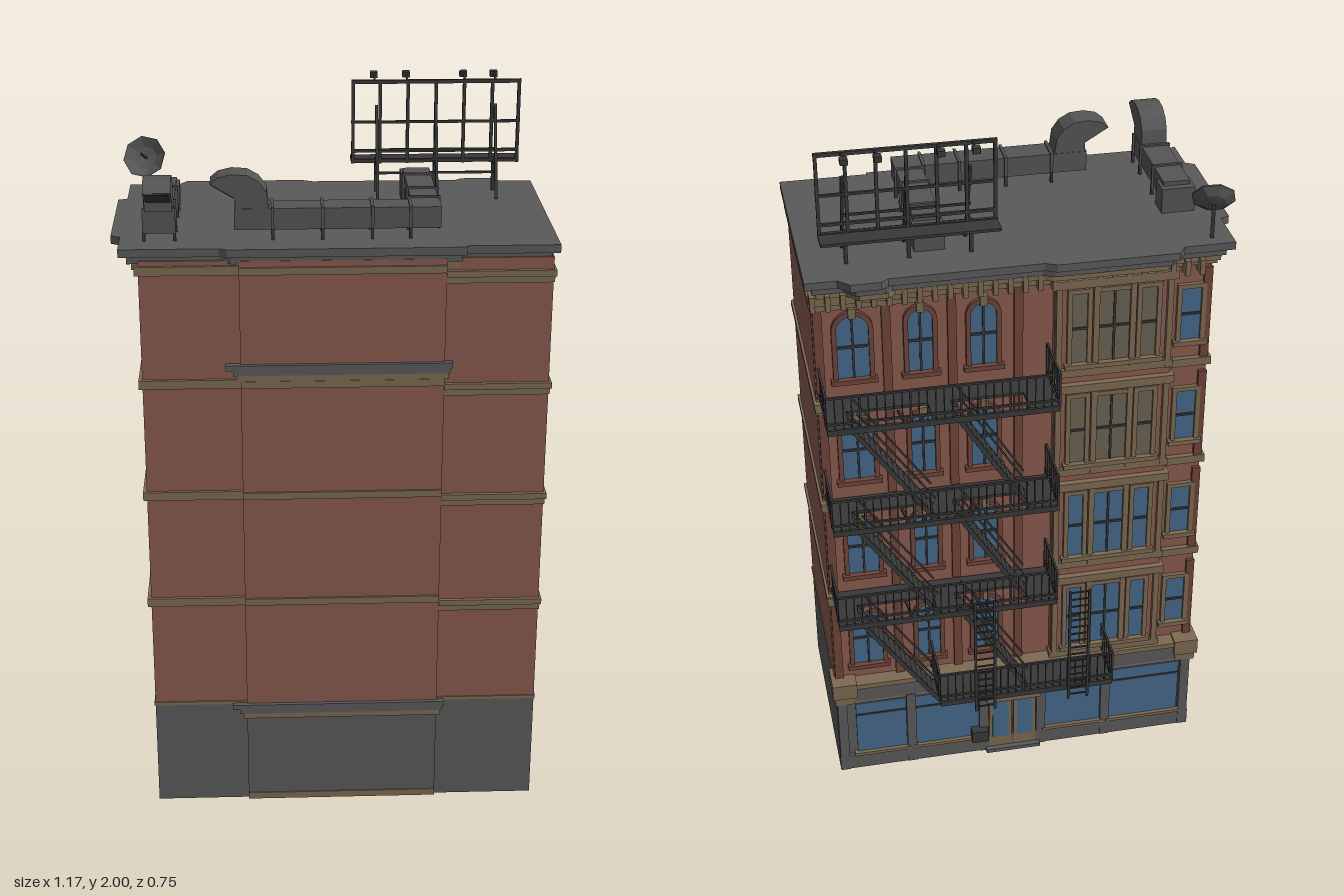
import * as THREE from 'three';
import { mergeGeometries } from 'three/addons/utils/BufferGeometryUtils.js';

const COLORS = {
  brick: 0x8a5a4e, masonryGrey: 0x5a5a5a, stoneTan: 0x7d6a52, iron: 0x383838,
  ductGrey: 0x555555, glass: 0x45688a, blind: 0x6a6253, darkBrick: 0x6e4439,
};

export function createModel() {
  const root = new THREE.Group();
  root.name = 'apartmentBuilding';
  const mats = {};
  for (const k in COLORS) {
    mats[k] = new THREE.MeshStandardMaterial({ color: COLORS[k] });
    mats[k].name = k;
  }
  // Pieces that share a part name and colour become one flat-faced mesh
  const parts = new Map();
  const add = (name, mat, geo) => {
    const g = geo.index ? geo.toNonIndexed() : geo;
    g.computeVertexNormals();
    const key = name + '|' + mat;
    if (!parts.has(key)) parts.set(key, []);
    parts.get(key).push(g);
  };
  const box = (name, mat, x0, x1, y0, y1, z0, z1) =>
    add(name, mat, new THREE.BoxGeometry(Math.abs(x1 - x0), y1 - y0, Math.abs(z1 - z0))
      .translate((x0 + x1) / 2, (y0 + y1) / 2, (z0 + z1) / 2));
  const bar = (name, mat, a, b, t = 0.005, w = t) => {
    const p = new THREE.Vector3(...a), q = new THREE.Vector3(...b);
    const m = new THREE.Matrix4().lookAt(q, p, Math.abs(q.x - p.x) + Math.abs(q.z - p.z) < 1e-4
      ? new THREE.Vector3(0, 0, 1) : new THREE.Vector3(0, 1, 0));
    m.setPosition(p.clone().add(q).multiplyScalar(0.5));
    add(name, mat, new THREE.BoxGeometry(w, t, p.distanceTo(q)).applyMatrix4(m));
  };

  // Main walls, with a slightly proud middle section on the plain side
  box('groundFloor', 'masonryGrey', -0.51, 0.57, 0, 0.32, -0.2, 0.357);
  box('groundFloor', 'masonryGrey', -0.25, 0.29, 0, 0.32, 0.35, 0.364);
  box('brickWalls', 'brick', -0.51, 0.57, 0.32, 1.64, -0.2, 0.357);
  box('brickWalls', 'brick', -0.25, 0.29, 0.32, 1.64, 0.35, 0.364);
  box('plinthStrip', 'stoneTan', -0.25, 0.29, 0, 0.02, 0.36, 0.367);

  // Belt courses: thin ones on the left and middle, deeper ones on the right
  for (const y of [0.32, 0.65, 0.975, 1.3, 1.615]) {
    if (y > 0.4) {
      box('beltCourse', 'stoneTan', -0.52, -0.25, y - 0.012, y + 0.012, -0.215, 0.366);
      box('beltCourse', 'stoneTan', -0.25, 0.29, y - 0.012, y + 0.008, 0.35, 0.37);
      box('beltCourse', 'stoneTan', 0.29, 0.577, y - 0.025, y - 0.008, -0.215, 0.368);
      box('beltCourse', 'stoneTan', 0.29, 0.573, y - 0.043, y - 0.025, -0.21, 0.362);
    } else box('beltCourse', 'stoneTan', -0.513, 0.573, y - 0.004, y + 0.006, -0.2, 0.36);
  }
  const ledge = (y, g) => {
    box('ledge', g, -0.29, 0.31, y - 0.015, y, 0.35, 0.375);
    box('ledge', 'masonryGrey', -0.27, 0.305, y - 0.03, y - 0.015, 0.35, 0.372);
    box('ledge', 'stoneTan', -0.26, 0.3, y - 0.047, y - 0.03, 0.35, 0.369);
  };
  ledge(1.355, 'masonryGrey');
  ledge(0.32, 'masonryGrey');

  // Stepped roof cornice following the roof outline
  const outline = [[-0.56, 0.362], [-0.3, 0.362], [-0.28, 0.373], [0.34, 0.373], [0.34, 0.362], [0.585, 0.362],
    [0.585, -0.24], [0.5, -0.24], [0.47, -0.27], [0.39, -0.27], [0.37, -0.255], [-0.04, -0.255], [-0.07, -0.27],
    [-0.4, -0.27], [-0.42, -0.24], [-0.56, -0.24], [-0.56, -0.1], [-0.585, -0.09], [-0.585, 0.24], [-0.56, 0.255]];
  const slab = (mat, s, y0, y1) => {
    const pts = outline.map(([x, z]) => new THREE.Vector2(0.04 + (x - 0.04) * s, -(0.09 + (z - 0.09) * s)));
    add('roofCornice', mat, new THREE.ExtrudeGeometry(new THREE.Shape(pts), { depth: y1 - y0, bevelEnabled: false })
      .rotateX(-Math.PI / 2).translate(0, y0, 0));
  };
  slab('stoneTan', 0.945, 1.615, 1.632);
  slab('masonryGrey', 0.965, 1.632, 1.652);
  slab('masonryGrey', 1, 1.652, 1.674);
  for (let x = -0.48; x < 0.56; x += 0.04) box('corniceBracket', 'stoneTan', x, x + 0.014, 1.585, 1.63, -0.24, -0.2);

  // Street side: window with a stone surround, glass and glazing bars
  const windowPath = (P, w, h, arched) => {
    const p = new P();
    p.moveTo(-w / 2, 0).lineTo(w / 2, 0).lineTo(w / 2, arched ? h - w / 2 : h);
    if (arched) p.absarc(0, h - w / 2, w / 2, 0, Math.PI, false);
    else p.lineTo(-w / 2, h);
    p.closePath();
    return p;
  };
  const win = (x, y, w, h, arched, pane, zw = -0.2, trim = 'stoneTan') => {
    const s = windowPath(THREE.Shape, w + 0.026, h + 0.013, arched);
    s.holes.push(windowPath(THREE.Path, w, h, arched));
    add('windowSurround', trim, new THREE.ExtrudeGeometry(s, { depth: 0.014, bevelEnabled: false, curveSegments: 10 })
      .translate(x, y, zw - 0.012));
    add('windowPane', pane, new THREE.ExtrudeGeometry(windowPath(THREE.Shape, w, h, arched),
      { depth: 0.006, bevelEnabled: false, curveSegments: 10 }).translate(x, y, zw - 0.004));
    box('windowFrame', 'iron', x - w / 2, x + w / 2, y + h * 0.48, y + h * 0.48 + 0.007, zw - 0.008, zw);
    if (w > 0.06) box('windowFrame', 'iron', x - 0.003, x + 0.003, y, y + h, zw - 0.008, zw);
    box('windowSill', trim, x - w / 2 - 0.02, x + w / 2 + 0.02, y - 0.014, y, zw - 0.02, zw);
  };
  box('bayWall', 'brick', -0.4, -0.075, 0.32, 1.62, -0.222, -0.2);
  [0.325, 0.655, 0.98, 1.305].forEach((y, f) => {
    for (const [x, w] of [[0.465, 0.085], [0.285, 0.065], [0.115, 0.07]]) {
      win(x, y + 0.055, w, 0.19, true, 'glass', -0.2, 'darkBrick');
      box('keystone', 'stoneTan', x - 0.01, x + 0.01, y + 0.24, y + 0.27, -0.219, -0.2);
    }
    win(-0.457, y + 0.065, 0.055, 0.16, false, 'glass');
    const pane = f > 1 ? 'blind' : 'glass';
    win(-0.142, y + 0.04, 0.042, 0.215, false, pane, -0.222);
    win(-0.2375, y + 0.04, 0.085, 0.215, false, pane, -0.222);
    win(-0.333, y + 0.04, 0.042, 0.215, false, pane, -0.222);
    // Floor bands and pilasters
    box('streetBelt', 'stoneTan', -0.075, 0.575, y + 0.285, y + 0.312, -0.217, -0.2);
    box('streetBelt', 'stoneTan', -0.41, -0.065, y + 0.275, y + 0.3, -0.24, -0.2);
    box('streetBelt', 'stoneTan', -0.405, -0.07, y, y + 0.022, -0.235, -0.2);
    for (const x of [-0.39, -0.288, -0.187, -0.085]) box('bayPilaster', 'stoneTan', x - 0.008, x + 0.008, y, y + 0.28, -0.236, -0.2);
    for (const x of [0.555, 0.375, 0.2, 0.02, -0.5]) box('wallPilaster', 'darkBrick', x - 0.012, x + 0.012, y, y + 0.285, -0.21, -0.2);
  });

  // Shop front with plinth, sign band, windows and doors
  box('shopFront', 'masonryGrey', -0.51, 0.57, 0, 0.3, -0.226, -0.2);
  box('shopPlinth', 'masonryGrey', -0.51, 0.57, 0, 0.05, -0.238, -0.22);
  box('shopSign', 'masonryGrey', -0.51, 0.57, 0.262, 0.312, -0.238, -0.2);
  box('shopSignTrim', 'stoneTan', -0.51, 0.57, 0.312, 0.328, -0.245, -0.2);
  box('shopSignTrim', 'stoneTan', -0.51, 0.57, 0.252, 0.262, -0.236, -0.2);
  for (const [a, b] of [[0.365, 0.515], [0.145, 0.335], [-0.23, -0.06], [-0.475, -0.26]]) {
    box('shopWindow', 'glass', a, b, 0.06, 0.245, -0.232, -0.22);
    box('shopWindowSill', 'stoneTan', a - 0.01, b + 0.01, 0.05, 0.06, -0.243, -0.22);
    box('shopWindowBar', 'iron', a, b, 0.2, 0.206, -0.235, -0.22);
  }
  for (const x of [0.555, 0.35, 0.13, -0.045, -0.245, -0.493])
    box('shopPier', 'masonryGrey', x - 0.014, x + 0.014, 0, 0.262, -0.24, -0.2);
  for (const x of [0.545, -0.49]) {
    box('cornerBlock', 'stoneTan', x - 0.036, x + 0.036, 0.285, 0.335, -0.25, -0.16);
    box('cornerBlock', 'stoneTan', x - 0.03, x + 0.03, 0.255, 0.285, -0.24, -0.18);
  }
  for (const x of [0.08, 0.005]) {
    box('door', 'stoneTan', x - 0.034, x + 0.034, 0.01, 0.2, -0.239, -0.22);
    box('doorPane', 'glass', x - 0.024, x + 0.024, 0.05, 0.19, -0.242, -0.22);
  }
  box('doorHood', 'stoneTan', -0.04, 0.125, 0.205, 0.22, -0.262, -0.22);
  box('doorStep', 'masonryGrey', -0.04, 0.125, 0, 0.012, -0.255, -0.22);
  box('ventBox', 'iron', 0.12, 0.17, 0.055, 0.095, -0.262, -0.23);

  // Fire escape: decks, railings, brackets, stairs and ladders
  const FE = 'fireEscape', zo = -0.362, zi = -0.205;
  const railRun = (a, b, y) => {
    const n = Math.max(2, Math.round(Math.hypot(b[0] - a[0], b[1] - a[1]) / 0.022));
    for (const h of [0.1, 0.02]) bar(FE + 'Rail', 'iron', [a[0], y + h, a[1]], [b[0], y + h, b[1]], 0.006);
    for (let i = 0; i <= n; i++) {
      const x = a[0] + (b[0] - a[0]) * i / n, z = a[1] + (b[1] - a[1]) * i / n;
      bar(FE + 'Rail', 'iron', [x, y, z], [x, y + 0.1, z], i % 6 ? 0.003 : 0.006);
    }
  };
  const stairs = [[0.5, 0.28, -0.355, -0.285], [0.22, 0.02, -0.345, -0.275]];
  for (const [y, x0, x1] of [[0.325, -0.23, 0.28], [0.65, -0.06, 0.56], [0.975, -0.06, 0.56], [1.3, -0.06, 0.56]]) {
    const low = y < 0.4;
    box(FE + 'Deck', 'iron', x0, x1, y - 0.008, y, low ? zo : -0.275, zi);
    if (!low) for (const [a, b] of [[-0.06, 0.02], [0.22, 0.28], [0.5, 0.56]])
      box(FE + 'Deck', 'iron', a, b, y - 0.008, y, zo, -0.27);
    box(FE + 'Deck', 'iron', x0, x1, y - 0.014, y + 0.003, zo - 0.004, zo + 0.004);
    railRun([x0, zo], [x1, zo], y);
    railRun([x0, zi], [x0, zo], y);
    railRun([x1, zi], [x1, zo], y);
    for (let i = 0; i < 4; i++) {
      const x = x0 + 0.01 + (x1 - x0 - 0.02) * i / 3;
      bar(FE + 'Bracket', 'iron', [x, y - 0.065, -0.2], [x, y - 0.01, zo], 0.007);
    }
    if (!low) for (const [xt, xb, za, zb] of stairs) {
      for (const z of [za, zb]) {
        bar(FE + 'Stair', 'iron', [xt, y, z], [xb, y - 0.325, z], 0.012, 0.005);
        bar(FE + 'Stair', 'iron', [xt - 0.02, y + 0.04, z], [xb, y - 0.255, z], 0.005);
      }
      for (let i = 1; i < 15; i++) {
        const x = xt + (xb - xt) * i / 15, yy = y - 0.325 * i / 15;
        box(FE + 'Stair', 'iron', x - 0.009, x + 0.009, yy - 0.002, yy + 0.002, za, zb);
      }
    }
  }
  for (const x of [0.15, -0.125]) {
    for (const s of [-0.028, 0.028]) bar('dropLadder', 'iron', [x + s, 0.285, -0.374], [x + s, 0.68, -0.374], 0.007);
    for (let y = 0.3; y < 0.68; y += 0.025) bar('dropLadder', 'iron', [x - 0.028, y, -0.374], [x + 0.028, y, -0.374], 0.004);
  }

  // Roof ducts with joints, feet and curved hoods
  const D = 'ductGrey';
  box('longDuct', D, -0.26, 0.28, 1.7, 1.757, 0.213, 0.287);
  box('longDuct', D, 0.205, 0.278, 1.7, 1.757, -0.09, 0.25);
  box('longDuctEnd', D, 0.2, 0.283, 1.672, 1.745, -0.125, -0.07);
  for (const x of [-0.16, -0.03, 0.1, 0.2]) {
    box('ductJoint', D, x - 0.004, x + 0.004, 1.695, 1.762, 0.207, 0.293);
    for (const z of [0.21, 0.29]) box('ductFoot', 'iron', x - 0.004, x + 0.004, 1.67, 1.705, z - 0.004, z + 0.004);
  }
  for (const z of [0.2, 0.115, -0.02]) {
    box('ductJoint', D, 0.199, 0.284, 1.695, 1.762, z - 0.004, z + 0.004);
    for (const x of [0.202, 0.281]) box('ductFoot', 'iron', x - 0.004, x + 0.004, 1.67, 1.705, z - 0.004, z + 0.004);
  }
  box('shortDuct', D, -0.492, -0.418, 1.7, 1.757, -0.02, 0.29);
  box('shortDuctBase', D, -0.502, -0.41, 1.672, 1.745, -0.04, 0.025);
  for (const z of [0.08, 0.21, 0.29]) {
    box('ductJoint', D, -0.498, -0.412, 1.695, 1.762, z - 0.004, z + 0.004);
    for (const x of [-0.495, -0.415]) box('ductFoot', 'iron', x - 0.004, x + 0.004, 1.67, 1.705, z - 0.004, z + 0.004);
  }
  const hood = (angle, x, z) => {
    const pts = [[0, 0], [0, 0.028], [0.066, 0.068], [0.045, 0.085], [0.01, 0.093], [-0.03, 0.09], [-0.06, 0.073],
      [-0.08, 0.045], [-0.086, 0]].map(p => new THREE.Vector2(...p));
    add('ductHood', D, new THREE.ExtrudeGeometry(new THREE.Shape(pts), { depth: 0.072, bevelEnabled: false })
      .translate(0, 0, -0.036).rotateY(angle).translate(x, 1.755, z));
    add('hoodOpening', 'iron', new THREE.BoxGeometry(0.07, 0.004, 0.06).rotateZ(Math.atan2(0.04, 0.066))
      .translate(0.034, 0.047, 0).rotateY(angle).translate(x, 1.755, z));
  };
  hood(Math.PI, -0.255, 0.25);
  hood(-Math.PI / 2, -0.455, 0.3);

  // Satellite dish on a short mast
  const dish = new THREE.LatheGeometry([[0, 0], [0.035, 0.007], [0.06, 0.024], [0.06, 0.028], [0.033, 0.013], [0, 0.007]]
    .map(p => new THREE.Vector2(...p)), 8);
  const aim = new THREE.Vector3(-0.2, 0.5, 0.84).normalize();
  dish.applyQuaternion(new THREE.Quaternion().setFromUnitVectors(new THREE.Vector3(0, 1, 0), aim));
  add('satelliteDish', D, dish.translate(-0.508, 1.762, -0.19));
  bar('dishMast', 'iron', [-0.505, 1.67, -0.2], [-0.508, 1.765, -0.19], 0.01);
  bar('dishFeed', 'iron', [-0.508, 1.765, -0.188], [-0.52, 1.79, -0.145], 0.005);

  // Empty billboard frame with braces, walkway and lamps
  const B = 'billboardFrame', zb = -0.15;
  for (const [y, t] of [[1.985, 0.01], [1.872, 0.007], [1.79, 0.008], [1.762, 0.01]]) bar(B, 'iron', [0.065, y, zb], [0.535, y, zb], t);
  for (const x of [0.07, 0.145, 0.222, 0.3, 0.378, 0.456, 0.53]) bar(B, 'iron', [x, 1.755, zb], [x, 1.988, zb], 0.009);
  for (const x of [0.135, 0.3, 0.465]) {
    bar('billboardLeg', 'iron', [x, 1.67, zb], [x, 1.77, zb], 0.01);
    bar('billboardBrace', 'iron', [x, 1.672, -0.06], [x, 1.92, zb], 0.008);
    bar('billboardBrace', 'iron', [x, 1.76, -0.06 - 0.035], [x, 1.76, -0.21], 0.007);
  }
  for (const y of [1.74, 1.8]) bar('billboardBrace', 'iron', [0.13, y, -0.1 - (y - 1.74) * 0.4], [0.47, y, -0.1 - (y - 1.74) * 0.4], 0.006);
  box('billboardWalkway', 'iron', 0.065, 0.535, 1.756, 1.764, -0.21, -0.155);
  for (const x of [0.13, 0.22, 0.38, 0.465]) {
    bar('lampArm', 'iron', [x, 1.985, zb], [x, 1.996, -0.205], 0.005);
    box('lampHead', 'iron', x - 0.01, x + 0.01, 1.984, 2, -0.222, -0.2);
  }

  for (const [key, geos] of parts) {
    const [name, mat] = key.split('|');
    const mesh = new THREE.Mesh(mergeGeometries(geos), mats[mat]);
    mesh.name = name;
    root.add(mesh);
  }
  return root;
}
